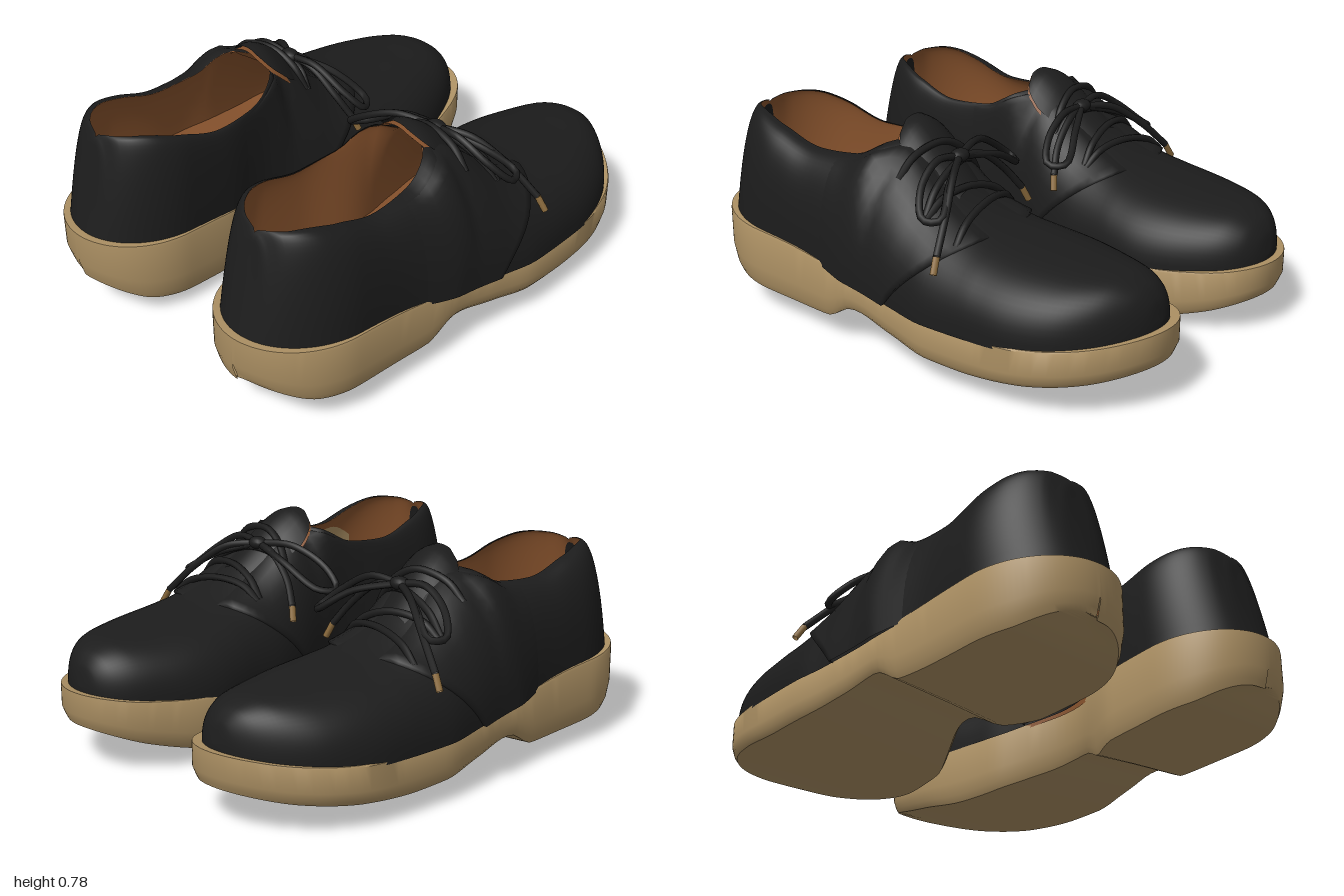
import * as THREE from 'three';
import { mergeGeometries, mergeVertices, toCreasedNormals } from 'three/addons/utils/BufferGeometryUtils.js';

const material = (name, color) => {
  const m = new THREE.MeshStandardMaterial({ color, side: THREE.DoubleSide });
  m.name = name;
  return m;
};

// Smooth curve through [t, value] points without overshoot
function curve(points) {
  const n = points.length;
  const slope = i => (points[i + 1][1] - points[i][1]) / (points[i + 1][0] - points[i][0]);
  const tangent = i => {
    if (i === 0) return slope(0);
    if (i === n - 1) return slope(n - 2);
    const a = slope(i - 1), b = slope(i);
    return a * b <= 0 ? 0 : 2 * a * b / (a + b);
  };
  return t => {
    if (t <= points[0][0]) return points[0][1];
    if (t >= points[n - 1][0]) return points[n - 1][1];
    let i = 0;
    while (t > points[i + 1][0]) i++;
    const h = points[i + 1][0] - points[i][0], s = (t - points[i][0]) / h;
    const s2 = s * s, s3 = s2 * s;
    return points[i][1] * (2 * s3 - 3 * s2 + 1) + points[i + 1][1] * (3 * s2 - 2 * s3)
      + h * (tangent(i) * (s3 - 2 * s2 + s) + tangent(i + 1) * (s3 - s2));
  };
}

// Surface from a grid of points
function grid(rows, cols, point, flip) {
  const pos = [], index = [];
  for (let i = 0; i <= rows; i++) for (let j = 0; j <= cols; j++) pos.push(...point(i / rows, j / cols, j));
  for (let i = 0; i < rows; i++) for (let j = 0; j < cols; j++) {
    const a = i * (cols + 1) + j, b = a + 1, c = a + cols + 1, d = c + 1;
    if (flip) index.push(a, c, b, b, c, d);
    else index.push(a, b, c, b, d, c);
  }
  const g = new THREE.BufferGeometry();
  g.setAttribute('position', new THREE.Float32BufferAttribute(pos, 3));
  g.setIndex(index);
  return g;
}

const smooth = (...parts) => {
  const g = mergeVertices(mergeGeometries(parts), 1e-4);
  g.computeVertexNormals();
  return g;
};

// Profiles along the shoe: t runs from heel to toe, q from inner to outer side
const center = curve([[-0.9, -0.03], [-0.6, -0.018], [-0.4, -0.008], [-0.15, 0.03], [0.05, 0.02], [0.2, 0.015], [0.45, 0], [0.65, -0.005], [0.92, -0.05]]);
const halfWidth = curve([[-0.9, 0.265], [-0.4, 0.262], [-0.15, 0.24], [0.05, 0.275], [0.2, 0.305], [0.45, 0.318], [0.65, 0.312], [0.92, 0.3]]);
const ledge = curve([[-0.9, 0.016], [-0.4, 0.01], [-0.1, -0.012], [0.3, -0.004], [0.6, 0], [0.9, 0.015]]);
const archNotch = curve([[-0.4, 0], [-0.14, 0.06], [0.15, 0]]);
const soleBottom = curve([[-0.9, 0.135], [-0.75, 0.07], [-0.5, 0.045], [-0.29, 0.035], [-0.17, 0.085], [0, 0.045], [0.2, 0.005], [0.33, 0], [0.55, 0.03], [0.75, 0.08], [0.91, 0.14]]);
const soleRoll = curve([[-0.9, 0.02], [-0.3, 0.04], [0.3, 0.075], [0.6, 0.05], [0.91, 0]]);
const soleTop = curve([[-0.9, 0.325], [-0.5, 0.3], [-0.1, 0.25], [0.2, 0.222], [0.5, 0.22], [0.75, 0.238], [0.92, 0.265]]);
const crown = curve([[-0.885, 0.6], [-0.87, 0.665], [-0.84, 0.695], [-0.78, 0.7], [-0.6, 0.668], [-0.4, 0.622], [-0.25, 0.632], [-0.12, 0.695], [-0.06, 0.705], [0.02, 0.66], [0.1, 0.59], [0.2, 0.52], [0.35, 0.465], [0.6, 0.435], [0.75, 0.42], [0.82, 0.392], [0.86, 0.345], [0.878, 0.275]]);
const boxiness = curve([[-0.5, 0.78], [-0.12, 0.95], [0.1, 0.98], [0.35, 0.8]]);
const opening = curve([[-0.86, 0], [-0.84, 0.06], [-0.79, 0.11], [-0.7, 0.145], [-0.6, 0.162], [-0.4, 0.168], [-0.2, 0.15], [-0.12, 0.11], [-0.07, 0]]);
const openingCenter = curve([[-0.85, -0.04], [-0.4, -0.055], [-0.1, -0.05], [0.15, 0]]);

// Rounded heel and toe ends for a plan outline between two limits
function endCap(t, back, front) {
  const round = (d, len) => d >= len ? 1 : Math.sqrt(Math.max(0, 1 - (1 - d / len) ** 2));
  return round(t - back, 0.3) * round(front - t, 0.45);
}
const station = (f, back, front) => (back + front) / 2 - Math.cos(Math.PI * f) * (front - back) / 2;

// Point on the leather: angle 0 at the sole, PI/2 at the crown or collar edge
function leather(t, angle, side, offset = 0, inset = 0) {
  const cap = endCap(t, -0.885, 0.878);
  const w = Math.max(0, (halfWidth(t) - ledge(t)) * cap - inset);
  const c = Math.pow(Math.max(0, Math.cos(angle)), boxiness(t)), s = Math.pow(Math.sin(angle), boxiness(t) + 0.02);
  const o = Math.min(opening(t), w);
  const mid = center(t), top = THREE.MathUtils.lerp(mid, openingCenter(t), cap);
  const base = soleTop(t) - 0.015;
  const q = (top + side * o) * (1 - c) + (mid + side * w) * c + side * offset * Math.cos(angle);
  const y = base + (crown(t) - base - inset * 0.1) * s + offset * Math.sin(angle);
  const lean = 0.075 * s * (1 - THREE.MathUtils.smoothstep(t, -0.88, -0.4));
  return [q, y, t + lean];
}

function createShoe(m, mats, bow) {
  const shoe = new THREE.Group();
  const place = ([q, y, t]) => [q * m, y, -t];
  const vec = p => new THREE.Vector3(...place(p));
  const add = (name, geometry, mat) => {
    const mesh = new THREE.Mesh(geometry, mat);
    mesh.name = name;
    shoe.add(mesh);
  };
  const bothSides = make => smooth(make(1), make(-1));

  // Thick sole with heel step, higher along its outer edge
  const section = [[-0.94, 0], [-0.985, 0.12], [-1, 0.35], [-1, 0.96], [-0.985, 1], [0.985, 1], [1, 0.96], [1, 0.35], [0.985, 0.12], [0.94, 0], [0, 0], [-0.94, 0]];
  const sole = grid(90, section.length - 1, (f, g, j) => {
    const t = station(f, -0.908, 0.91), [sx, sy] = section[j];
    const bottom = soleBottom(t) + soleRoll(t) * (sx + 1) / 2;
    const tuck = 1 - 0.02 * (1 - Math.min(1, sy / 0.35));
    const notch = sx < 0 ? archNotch(t) * -sx * (1 - 0.6 * sy) : 0;
    return place([center(t) + sx * halfWidth(t) * endCap(t, -0.908, 0.91) + notch,
      THREE.MathUtils.lerp(bottom, soleTop(t), sy), t * tuck]);
  }, m < 0);
  add('sole', toCreasedNormals(sole, 0.7), mats.sole);

  // Leather upper
  add('upper', bothSides(side => grid(100, 16, (f, g) =>
    place(leather(station(f, -0.885, 0.878), g * Math.PI / 2, side)), side * m > 0)), mats.leather);

  // Lining and dished insole
  add('lining', bothSides(side => grid(60, 12, (f, g) =>
    place(leather(station(f, -0.87, 0.3), g * Math.PI / 2, side, 0, 0.025)), side * m < 0)), mats.lining);
  add('insole', smooth(grid(40, 8, (f, g) => {
    const t = station(f, -0.86, 0.3), k = g * 2 - 1;
    const w = (halfWidth(t) - ledge(t) - 0.02) * endCap(t, -0.87, 0.878);
    return place([center(t) + k * w, soleTop(t) + 0.012 + 0.03 * k * k, t]);
  }, m < 0)), mats.lining);

  // Bare patch inside the outer wall of one shoe
  if (m > 0) add('innerPatch', smooth(grid(14, 6, (f, g) =>
    place(leather(-0.66 + 0.36 * f, 0.25 + g * (0.35 + 0.35 * Math.sin(Math.PI * f)), 1, -0.004, 0.025)), false)), mats.sole);

  // Overlapping side flaps, folded down at the front edge
  add('sideFlaps', bothSides(side => grid(20, 12, (f, g) => {
    const angle = g * 1.32;
    const front = 0.02 + 0.3 * Math.sin(angle);
    const t = THREE.MathUtils.lerp(-0.3, front, Math.min(1, f / 0.95));
    const off = f > 0.96 ? -0.005 : 0.014 * Math.min(1, f * 3) * (g > 0.95 ? 0 : 1);
    return place(leather(t, angle, side, off));
  }, side * m > 0)), mats.leather);

  // Tongue with lined back
  const tongueWidth = curve([[-0.125, 0.045], [-0.115, 0.08], [-0.08, 0.12], [-0.03, 0.135], [0.05, 0.12], [0.15, 0.09]]);
  const tongueHeight = curve([[-0.125, 0.757], [-0.09, 0.755], [-0.03, 0.725], [0.05, 0.65], [0.15, 0.565]]);
  const tongue = drop => smooth(grid(16, 10, (f, g) => {
    const t = -0.125 + 0.275 * f, k = g * 2 - 1, w = tongueWidth(t);
    return place([-0.05 + 0.045 * f + k * w, tongueHeight(t) - 0.08 * (k * w / 0.13) ** 2 - drop, t - drop * 0.5]);
  }, m < 0));
  add('tongue', tongue(0), mats.leather);
  add('tongueLining', tongue(0.012), mats.lining);

  // Laces: crossing bars, bow loops, loose ends and knot
  const cord = (name, points, mat = mats.leather, radius = 0.013) =>
    add(name, new THREE.TubeGeometry(new THREE.CatmullRomCurve3(points.map(vec)), 32, radius, 7), mat);
  [0.01, 0.08, 0.15, 0.22].forEach((t, i) => {
    const skew = i % 2 ? 0.03 : -0.03;
    cord('laceBar', [
      leather(t - skew, 0.95, -1, 0.005), leather(t - skew * 0.6, 1.2, -1, 0.022), leather(t, Math.PI / 2, 1, 0.025),
      leather(t + skew * 0.6, 1.2, 1, 0.022), leather(t + skew, 0.95, 1, 0.005)]);
  });
  const knot = [-0.05, 0.65, 0.07];
  const reach = (k, [q, y, t]) => [q + k * bow[0], y, t + k * bow[1]];
  cord('innerBowLoop', [knot, reach(0.4, [-0.2, 0.655, 0.03]), reach(0.8, [-0.34, 0.59, 0]), reach(1, [-0.41, 0.53, 0.02]),
    reach(1, [-0.37, 0.53, 0.07]), reach(0.4, [-0.22, 0.61, 0.1]), knot]);
  cord('outerBowLoop', [knot, [0.06, 0.66, 0.06], [0.17, 0.6, 0.08], [0.235, 0.53, 0.14], [0.21, 0.53, 0.19], [0.1, 0.6, 0.14], knot]);
  cord('innerLaceEnd', [knot, [-0.15, 0.63, 0.09], [-0.25, 0.55, 0.11], [-0.31, 0.47, 0.14]]);
  cord('outerLaceEnd', [knot, [0.06, 0.63, 0.13], [0.18, 0.54, 0.19], [0.28, 0.44, 0.23]]);
  cord('innerLaceTip', [[-0.31, 0.47, 0.14], [-0.33, 0.42, 0.155]], mats.tip, 0.012);
  cord('outerLaceTip', [[0.28, 0.44, 0.23], [0.31, 0.39, 0.24]], mats.tip, 0.012);
  const ball = new THREE.SphereGeometry(0.03, 14, 10);
  ball.scale(1.3, 0.8, 1);
  ball.translate(...place(knot));
  add('laceKnot', ball, mats.leather);
  return shoe;
}

export function createModel() {
  const mats = {
    leather: material('black leather', 0x1c1c1c),
    sole: material('tan rubber', 0xad9164),
    lining: material('brown lining', 0x88532d),
    tip: material('lace tip', 0x8a6a3c),
  };
  const model = new THREE.Group();
  model.name = 'pairOfShoes';
  // Name, mirror sign, position, yaw in degrees and inner bow shift of each shoe
  [
    ['rightFootShoe', 1, [0.335, 0.022, 0.235], 36, [0, 0]],
    ['leftFootShoe', -1, [-0.33, 0, -0.258], 38.3, [0.05, 0.13]],
  ].forEach(([name, m, position, yaw, bow]) => {
    const shoe = createShoe(m, mats, bow);
    shoe.name = name;
    shoe.rotation.y = -THREE.MathUtils.degToRad(yaw);
    shoe.position.set(...position);
    model.add(shoe);
  });
  return model;
}
